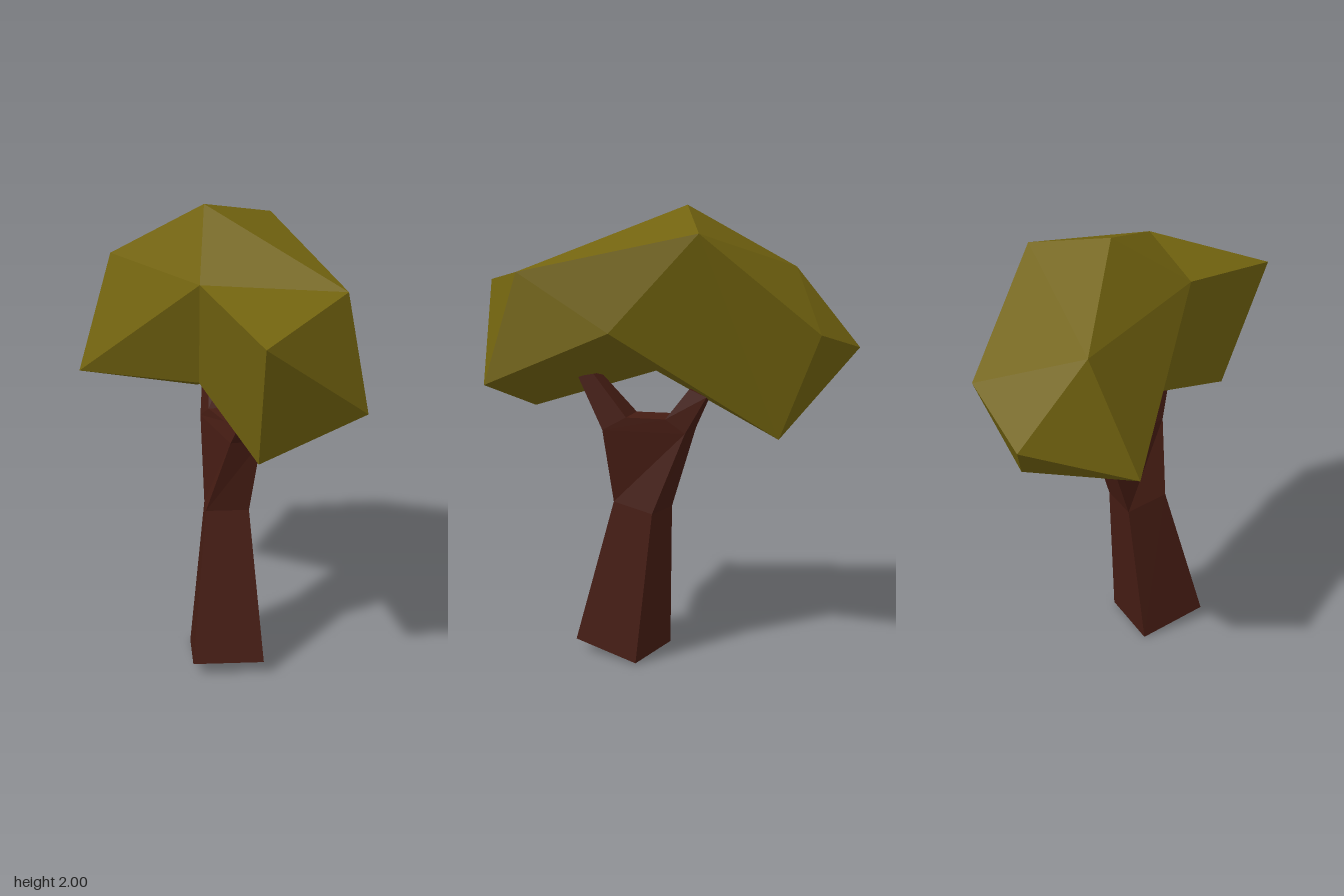
import * as THREE from 'three';

const bark = new THREE.MeshStandardMaterial({ color: 0x451c13, flatShading: true });
const leaf = new THREE.MeshStandardMaterial({ color: 0x72630f, flatShading: true });

// Flat-shaded mesh from a list of corner points, three per face
function facets(name, corners, material) {
  const geo = new THREE.BufferGeometry();
  geo.setAttribute('position', new THREE.Float32BufferAttribute(corners.flat(), 3));
  geo.computeVertexNormals();
  const mesh = new THREE.Mesh(geo, material);
  mesh.name = name;
  return mesh;
}

// Skins a stack of four-cornered rings and closes both ends
function loft(name, rings, material) {
  const out = [];
  const quad = (a, b, c, d) => out.push(a, b, c, a, c, d);
  for (let k = 0; k < rings.length - 1; k++) {
    const lo = rings[k], hi = rings[k + 1];
    for (let i = 0; i < 4; i++) {
      const j = (i + 1) % 4;
      quad(lo[i], lo[j], hi[j], hi[i]);
    }
  }
  quad(...[...rings[0]].reverse());
  quad(...rings[rings.length - 1]);
  return facets(name, out, material);
}

export function createModel() {
  const tree = new THREE.Group();
  tree.name = 'tree';

  // Trunk rings, each: front right, front left, back left, back right
  const base = [[-0.19, 0.06, 0.29], [0.1, 0.06, 0.4], [0.2, 0.005, 0.11], [-0.08, 0, 0]];
  const waist = [[-0.07, 0.72, 0.155], [0.105, 0.72, 0.22], [0.165, 0.69, 0.04], [0, 0.68, -0.02]];
  const shoulder = [[0.01, 1.05, 0.23], [0.14, 1.05, 0.26], [0.15, 1.05, -0.1], [0.03, 1.05, -0.13]];
  const fork = [[0.03, 1.11, 0.13], [0.145, 1.11, 0.155], [0.15, 1.11, -0.015], [0.03, 1.11, -0.04]];
  tree.add(loft('trunk', [base, waist, shoulder, fork], bark));

  // Two branches growing out of the sloped ends of the fork
  tree.add(loft('frontBranch', [
    [shoulder[0], shoulder[1], fork[1], fork[0]],
    [[0.05, 1.265, 0.34], [0.11, 1.275, 0.37], [0.12, 1.29, 0.3], [0.06, 1.285, 0.28]],
  ], bark));
  tree.add(loft('backBranch', [
    [shoulder[2], shoulder[3], fork[3], fork[2]],
    [[0.14, 1.21, -0.19], [0.07, 1.21, -0.2], [0.07, 1.235, -0.13], [0.13, 1.24, -0.115]],
  ], bark));

  // Crown: an irregular faceted lump, hollowed underneath at N
  const P = {
    A: [-0.12, 1.395, -0.815], B: [0.26, 1.51, -0.67], C: [0.39, 1.92, -0.19],
    D: [0.42, 1.52, 0.17], E: [0.39, 1.285, 0.7], F: [-0.12, 1.65, 0.81],
    G: [-0.13, 1.75, 0.23], H: [-0.42, 1.22, -0.45], I: [-0.23, 1.72, -0.53],
    J: [0.03, 2, -0.09], K: [0.36, 1.75, 0.56], L: [-0.04, 1.105, 0.6],
    M: [0.18, 1.05, -0.5], N: [-0.06, 1.275, 0.06],
  };
  const faces = 'JCI CBI BAI IAH IHG IGJ JGK JKC GFK KFE KED KDC ' +
    'CDM CMB BMA DEL DLN MDN LEF FGL LGN GHN NHM MHA';
  const corners = [...faces.replaceAll(' ', '')].map((key) => P[key]);
  tree.add(facets('crown', corners, leaf));

  return tree;
}
